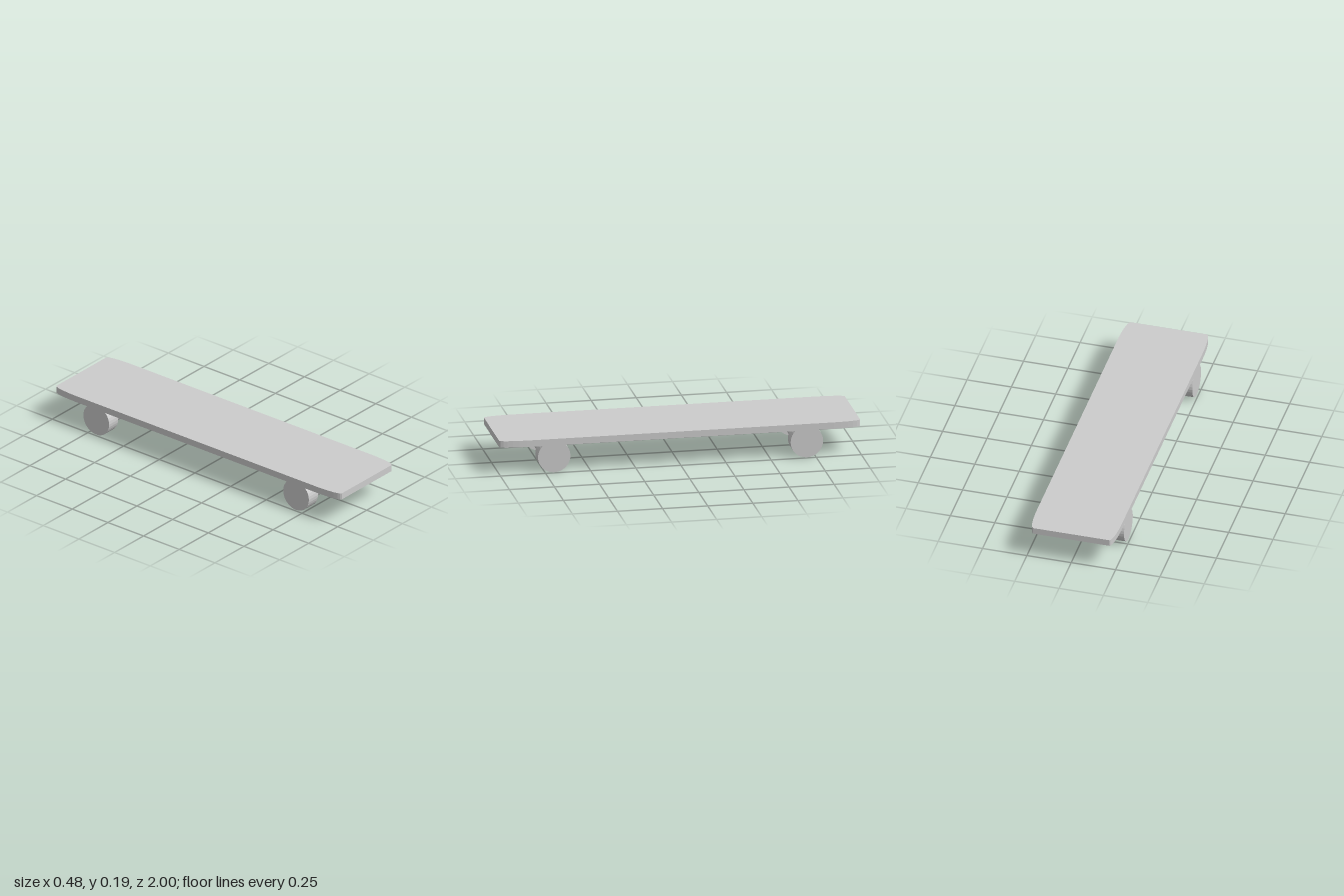
import * as THREE from 'three';

export function createModel() {
  const group = new THREE.Group();
  const grey = new THREE.MeshStandardMaterial({ color: 0xcccccc });
  grey.name = 'light grey';
  grey.flatShading = true;

  // Deck: long board whose corners taper gently along its length
  const w = 0.24, l = 1, rx = 0.025, rz = 0.15;
  const outline = new THREE.Shape();
  outline.moveTo(-w + rx, -l);
  outline.lineTo(w - rx, -l);
  outline.quadraticCurveTo(w - 0.004, -l + 0.01, w, -l + rz);
  outline.lineTo(w, l - rz);
  outline.quadraticCurveTo(w - 0.004, l - 0.01, w - rx, l);
  outline.lineTo(-w + rx, l);
  outline.quadraticCurveTo(-w + 0.004, l - 0.01, -w, l - rz);
  outline.lineTo(-w, -l + rz);
  outline.quadraticCurveTo(-w + 0.004, -l + 0.01, -w + rx, -l);
  const deckGeometry = new THREE.ExtrudeGeometry(outline, {
    depth: 0.037, bevelEnabled: false, curveSegments: 6,
  });
  deckGeometry.rotateX(-Math.PI / 2);
  const deck = new THREE.Mesh(deckGeometry, grey);
  deck.name = 'deck';
  deck.position.y = 0.153;
  group.add(deck);

  // Cylinder lying across the board
  const roller = (name, radius, width, x, z) => {
    const geometry = new THREE.CylinderGeometry(radius, radius, width, 32);
    geometry.rotateZ(Math.PI / 2);
    const mesh = new THREE.Mesh(geometry, grey);
    mesh.name = name;
    mesh.position.set(x, 0.09, z);
    group.add(mesh);
  };

  // Thick axle and two wheels at each end
  for (const [end, z] of [['front', 0.7], ['back', -0.7]]) {
    roller(end + 'Axle', 0.06, 0.324, 0, z);
    roller(end + 'LeftWheel', 0.09, 0.078, 0.201, z);
    roller(end + 'RightWheel', 0.09, 0.078, -0.201, z);
  }
  return group;
}
